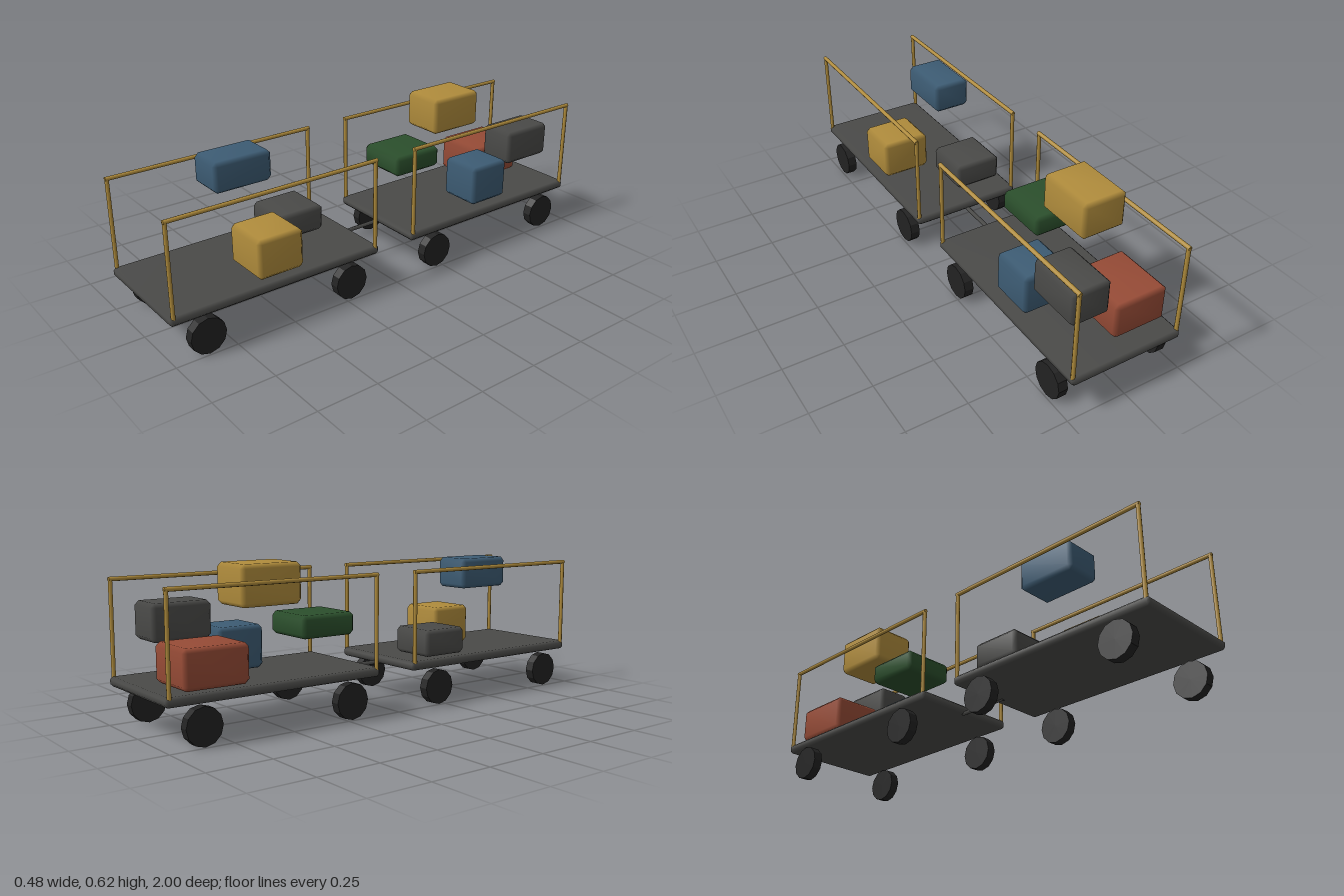
import * as THREE from 'three';
import { mergeVertices } from 'three/addons/utils/BufferGeometryUtils.js';
import { ConvexGeometry } from 'three/addons/geometries/ConvexGeometry.js';

function material(name, color, flatShading = false) {
  const m = new THREE.MeshStandardMaterial({ color, flatShading });
  m.name = name;
  return m;
}

// Box with one chamfer per edge and softly blended normals
function chamferBox(w, h, d, c) {
  const points = [];
  for (const sx of [-1, 1]) for (const sy of [-1, 1]) for (const sz of [-1, 1]) {
    for (let axis = 0; axis < 3; axis++) {
      const p = [w / 2, h / 2, d / 2].map((v, i) => (i === axis ? v : v - c));
      points.push(new THREE.Vector3(p[0] * sx, p[1] * sy, p[2] * sz));
    }
  }
  let g = new ConvexGeometry(points);
  g.deleteAttribute('normal');
  g = mergeVertices(g, 1e-5);
  g.computeVertexNormals();
  return g;
}

export function createModel() {
  const root = new THREE.Group();
  root.name = 'luggageCarts';
  const grey = material('charcoal', 0x4a4a48);
  const rubber = material('rubber', 0x222222, true);
  const gold = material('gold', 0xb08c3c);
  const blue = material('blue', 0x3d5c74);
  const red = material('red', 0x964b36);
  const green = material('green', 0x2b4f2c);

  function add(parent, name, geometry, mat, x, y, z) {
    const mesh = new THREE.Mesh(geometry, mat);
    mesh.name = name;
    mesh.position.set(x, y, z);
    parent.add(mesh);
    return mesh;
  }

  // Box given by its extents on each axis
  function block(parent, name, mat, [x0, x1], [y0, y1], [z0, z1], c) {
    add(parent, name, chamferBox(x1 - x0, y1 - y0, z1 - z0, c), mat,
      (x0 + x1) / 2, (y0 + y1) / 2, (z0 + z1) / 2);
  }

  const wheelGeo = new THREE.CylinderGeometry(0.0725, 0.0725, 0.039, 12).rotateZ(Math.PI / 2);
  const postGeo = new THREE.CylinderGeometry(0.0085, 0.0085, 0.375, 8);
  const railGeo = new THREE.CylinderGeometry(0.0085, 0.0085, 0.9, 8).rotateX(Math.PI / 2);

  // Two carts: deck, four wheels and a rail along each side
  for (const end of [1, -1]) {
    const cart = new THREE.Group();
    cart.name = end > 0 ? 'frontCart' : 'rearCart';
    root.add(cart);
    const mid = end * 0.542;
    add(cart, 'deck', chamferBox(0.475, 0.037, 0.916, 0.01), grey, 0, 0.1715, mid);
    for (const side of [1, -1]) {
      for (const dz of [-0.318, 0.318]) {
        add(cart, 'wheel', wheelGeo, rubber, side * 0.2225, 0.0725, mid + dz);
      }
      for (const dz of [-0.443, 0.443]) {
        add(cart, 'railPost', postGeo, gold, side * 0.2285, 0.3675, mid + dz);
      }
      add(cart, 'topRail', railGeo, gold, side * 0.2285, 0.553, mid);
    }
  }

  // Hitch bar joining the carts
  const hitch = new THREE.CylinderGeometry(0.009, 0.009, 0.23, 6).rotateX(Math.PI / 2);
  add(root, 'hitchBar', hitch, grey, 0, 0.157, 0.015);

  // Suitcases: material, x range, y range, z range
  const cases = [
    [grey, [-0.215, -0.008], [0.195, 0.305], [0.178, 0.392]],
    [blue, [-0.193, -0.031], [0.463, 0.589], [0.398, 0.652]],
    [gold, [0.006, 0.214], [0.195, 0.359], [0.424, 0.624]],
    [red, [-0.224, 0.006], [0.195, 0.345], [-0.925, -0.662]],
    [grey, [0.029, 0.192], [0.33, 0.474], [-0.916, -0.674]],
    [blue, [0.016, 0.204], [0.195, 0.365], [-0.656, -0.46]],
    [gold, [-0.208, -0.016], [0.463, 0.618], [-0.684, -0.427]],
    [green, [-0.222, 0.008], [0.329, 0.417], [-0.436, -0.196]],
  ];
  for (const [mat, x, y, z] of cases) block(root, mat.name + 'Suitcase', mat, x, y, z, 0.016);

  return root;
}
